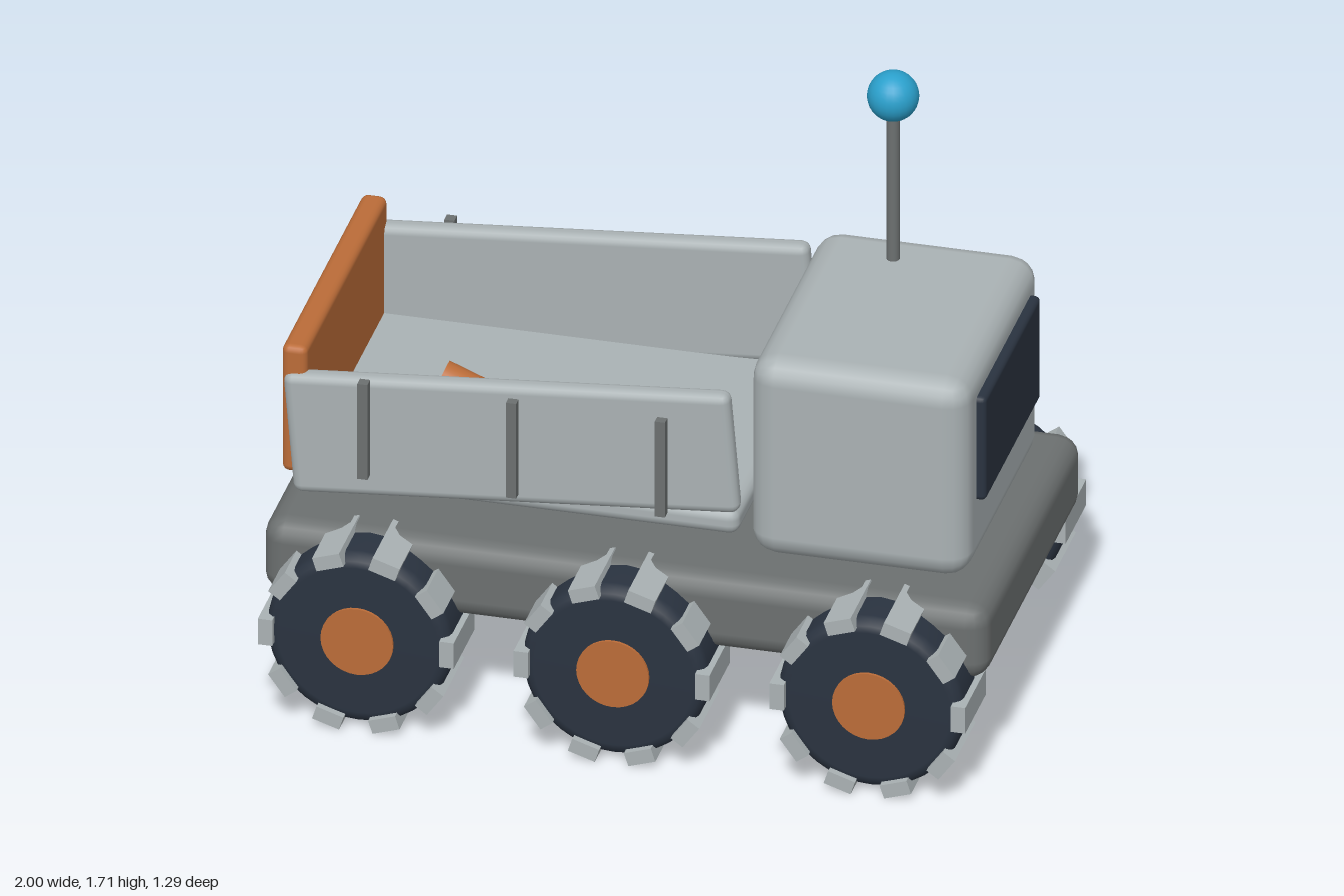
import * as THREE from 'three';
import { RoundedBoxGeometry } from 'three/addons/geometries/RoundedBoxGeometry.js';

const makeMaterial = (name, color) => {
  const m = new THREE.MeshStandardMaterial({ color });
  m.name = name;
  return m;
};

export function createModel() {
  const model = new THREE.Group();
  model.name = 'dumpRover';
  const shell = makeMaterial('light grey', 0xaab2b4);
  const frame = makeMaterial('dark grey', 0x6c7070);
  const dark = makeMaterial('dark navy', 0x2a3340);
  const orange = makeMaterial('orange', 0xbb6c38);
  const blue = makeMaterial('blue', 0x2aa0cc);

  const add = (parent, name, geometry, material, x, y, z) => {
    const mesh = new THREE.Mesh(geometry, material);
    mesh.name = name;
    mesh.position.set(x, y, z);
    parent.add(mesh);
    return mesh;
  };
  const rounded = (w, h, d, r) => new RoundedBoxGeometry(w, h, d, 2, r);

  // Chassis, cab and windscreen
  add(model, 'chassis', rounded(2, 0.225, 1.04, 0.06), frame, 0, 0.4225, 0);
  add(model, 'cab', rounded(0.605, 0.6, 0.79, 0.07), shell, 0.6125, 0.84, 0);
  add(model, 'windscreen', rounded(0.05, 0.315, 0.59, 0.015), dark, 0.916, 0.903, 0);

  // Antenna
  add(model, 'antennaMast', new THREE.CylinderGeometry(0.018, 0.018, 0.5, 16), frame, 0.545, 1.36, -0.25);
  add(model, 'antennaBall', new THREE.SphereGeometry(0.07, 24, 16), blue, 0.545, 1.638, -0.25);

  // Load bed: level floor, tilted sides with upright ribs, tailgate
  add(model, 'bedFloor', rounded(1.23, 0.075, 0.86, 0.03), shell, -0.322, 0.656, 0);
  add(model, 'tailgate', rounded(0.07, 0.385, 0.87, 0.02), orange, -0.93, 0.84, 0);
  for (const side of [1, -1]) {
    const panel = add(model, 'bedSide', rounded(1.235, 0.36, 0.06, 0.026), shell, -0.33, 0.825, side * 0.422);
    panel.rotation.z = 0.085;
    for (const x of [-0.73, -0.32, 0.09]) {
      add(model, 'bedRib', new THREE.BoxGeometry(0.028, 0.29, 0.03), frame, x, 0.825, side * 0.463);
    }
  }

  // Tipping ram, passing up through the floor
  const ram = add(model, 'tippingRam', new THREE.CylinderGeometry(0.05, 0.05, 0.556, 24), orange, -0.378, 0.642, 0);
  ram.rotation.z = THREE.MathUtils.degToRad(68);

  // Wheels: tyre, hub and ten tread blocks each
  const tyreProfile = [
    [0, -0.092], [0.22, -0.092], [0.238, -0.087], [0.251, -0.074], [0.256, -0.056],
    [0.256, 0.056], [0.251, 0.074], [0.238, 0.087], [0.22, 0.092], [0, 0.092],
  ].map(([r, y]) => new THREE.Vector2(r, y));
  const tyre = new THREE.LatheGeometry(tyreProfile, 40).rotateX(Math.PI / 2);
  const hub = new THREE.CylinderGeometry(0.1, 0.1, 0.2, 32).rotateX(Math.PI / 2);
  const tread = new THREE.BoxGeometry(0.04, 0.078, 0.22);
  for (const side of [1, -1]) {
    for (const x of [-0.705, 0, 0.705]) {
      const wheel = new THREE.Group();
      wheel.name = 'wheel';
      wheel.position.set(x, 0.271, side * 0.535);
      add(wheel, 'tyre', tyre, dark, 0, 0, 0);
      add(wheel, 'hub', hub, orange, 0, 0, 0);
      for (let i = 0; i < 10; i++) {
        const a = (i / 10) * Math.PI * 2;
        const block = add(wheel, 'treadBlock', tread, shell, 0.25 * Math.cos(a), 0.25 * Math.sin(a), 0);
        block.rotation.z = a;
      }
      model.add(wheel);
    }
  }
  return model;
}
